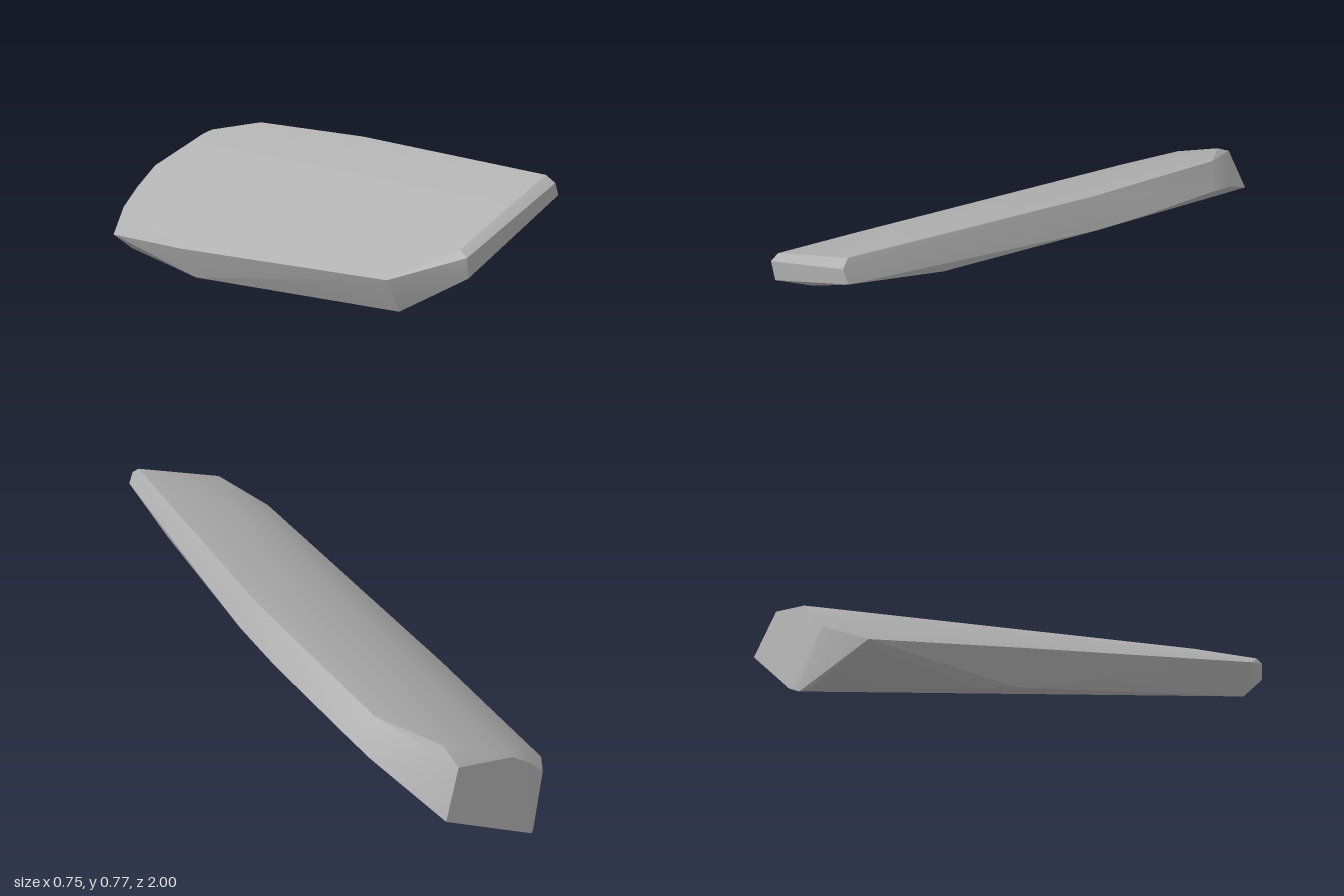
import * as THREE from 'three';
import { ConvexGeometry } from 'three/addons/geometries/ConvexGeometry.js';
import { toCreasedNormals } from 'three/addons/utils/BufferGeometryUtils.js';

// Corner points of the slab, grouped by the edge they run along
const frontEnd = [
  [-0.24, 0.617, 0.97], [0.15, 0.767, 0.97], [-0.24, 0.6, 1],
  [0.162, 0.745, 1], [0.183, 0.7, 1], [-0.23, 0.53, 1],
];
const rightUpperEdge = [[0.28, 0.645, 0], [0.31, 0.55, -0.67], [0.195, 0.495, -0.87]];
const rightLowerEdge = [
  [0.225, 0.61, 0.66], [0.33, 0.54, 0.03], [0.355, 0.515, -0.2],
  [0.373, 0.465, -0.6], [0.37, 0.44, -0.72], [0.275, 0.3, -0.98],
];
const leftUpperEdge = [[-0.375, 0.5, 0.8], [-0.375, 0.26, -0.3], [-0.35, 0.15, -0.84]];
const leftLowerEdge = [[-0.315, 0.375, 0.8], [-0.33, 0.135, -0.28], [-0.2, 0.015, -0.95]];
const backEnd = [
  [0.2, 0.458, -0.945], [-0.06, 0.366, -0.945], [-0.155, 0.29, -0.945],
  [-0.23, 0.215, -0.945], [-0.14, 0.02, -1], [-0.175, 0.002, -0.98],
];
// Gently domed upper face
const crown = [
  [-0.12, 0.645, 0.73], [0.03, 0.7, 0.73], [-0.05, 0.535, 0], [-0.2, 0.46, 0], [-0.31, 0.375, 0],
  [0.02, 0.445, -0.7], [-0.13, 0.385, -0.65], [-0.27, 0.24, -0.8],
];

export function createModel() {
  const group = new THREE.Group();
  group.name = 'rock';

  const stone = new THREE.MeshStandardMaterial({ color: 0xb0b0b0 });
  stone.name = 'stone grey';

  const points = [frontEnd, rightUpperEdge, rightLowerEdge, leftUpperEdge, leftLowerEdge, backEnd, crown]
    .flat()
    .map((p) => new THREE.Vector3(...p));

  // Smooth across the crown, sharp along the broken edges
  const slab = new THREE.Mesh(toCreasedNormals(new ConvexGeometry(points), 0.45), stone);
  slab.name = 'rockSlab';
  group.add(slab);
  return group;
}
